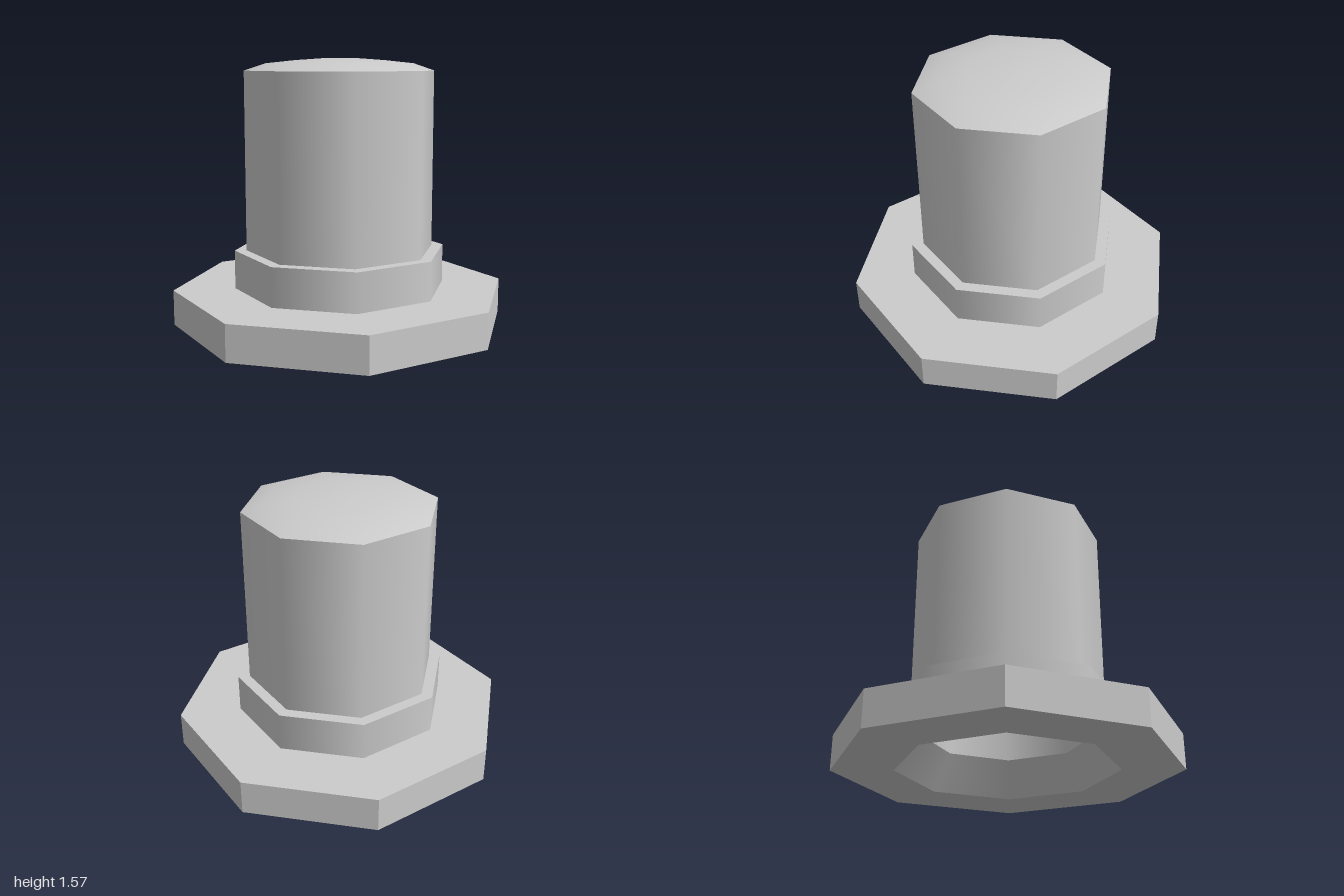
import * as THREE from 'three';

const SIDES = 8;
const smooth = new THREE.MeshStandardMaterial({ color: 0xcccccc });
const faceted = new THREE.MeshStandardMaterial({ color: 0xcccccc, flatShading: true });

// One octagonal band revolved from [radius, height] points; separate bands keep edges sharp
function band(name, points, material = smooth) {
  const profile = points.map(([r, y]) => new THREE.Vector2(r, y));
  const mesh = new THREE.Mesh(new THREE.LatheGeometry(profile, SIDES), material);
  mesh.name = name;
  return mesh;
}

export function createModel() {
  const model = new THREE.Group();
  model.name = 'flangedCap';
  model.add(
    // Wide base flange
    band('flangeUnderside', [[0.64, 0], [1, 0]], faceted),
    band('flangeRim', [[1, 0], [1, 0.21]], faceted),
    band('flangeTop', [[1, 0.21], [0.635, 0.21]], faceted),
    // Stepped collar
    band('collarWall', [[0.635, 0.21], [0.635, 0.44]]),
    band('collarTop', [[0.635, 0.44], [0.565, 0.44]], faceted),
    // Barrel and its shallow domed cap
    band('barrelWall', [[0.565, 0.44], [0.565, 1.5]]),
    band('dome', [[0.565, 1.5], [0.44, 1.542], [0.27, 1.56], [0.1, 1.572], [0, 1.572]]),
    // Hollow inside, flared at the mouth
    band('boreCeiling', [[0, 1.5], [0.5, 1.45]]),
    band('boreWall', [[0.5, 1.45], [0.5, 0.21]]),
    band('boreMouth', [[0.5, 0.21], [0.64, 0]])
  );
  return model;
}
